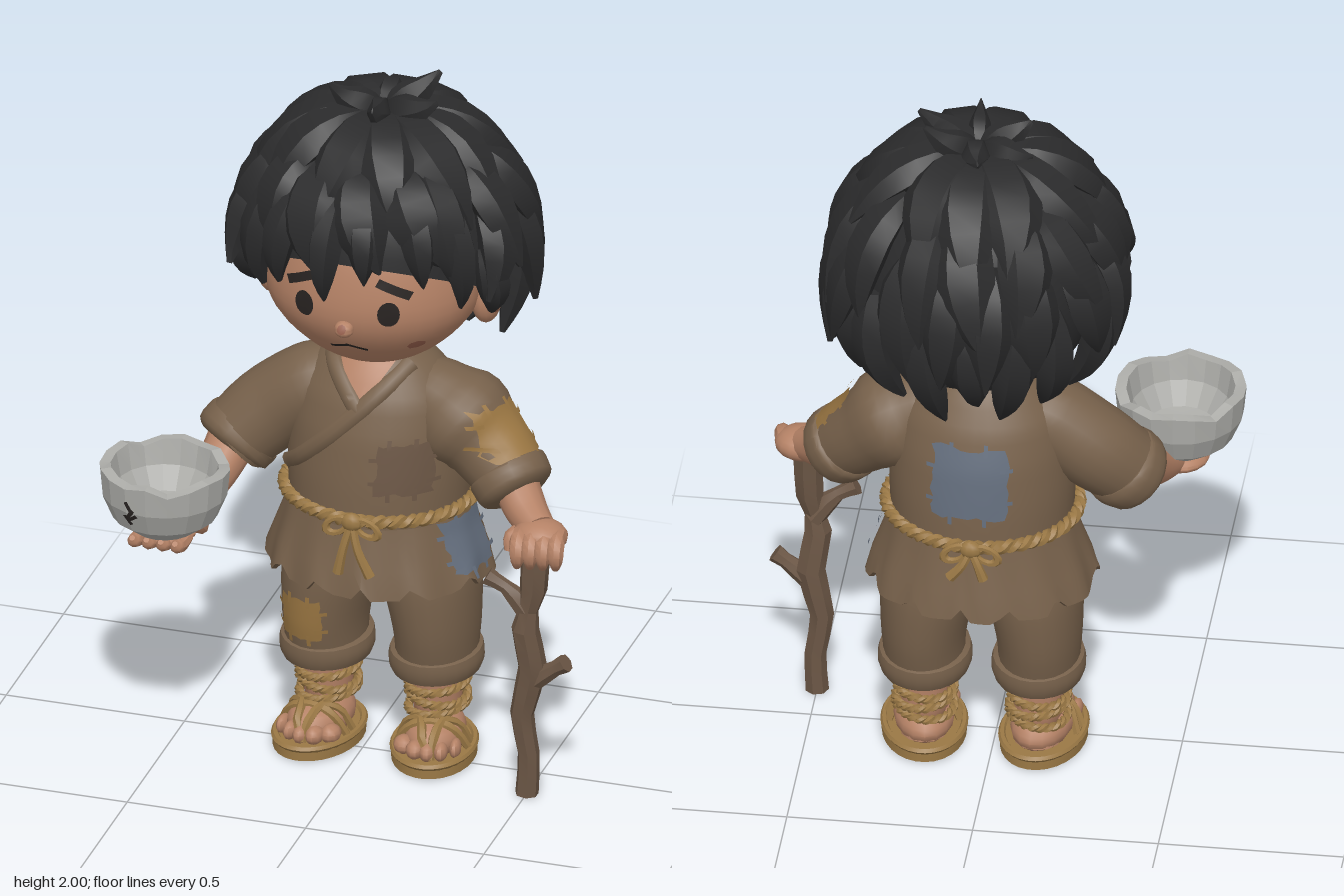
import * as THREE from 'three';
import { toCreasedNormals } from 'three/addons/utils/BufferGeometryUtils.js';

const V = (x, y, z) => new THREE.Vector3(x, y, z);
const mat = (name, color) => Object.assign(new THREE.MeshStandardMaterial({ color }), { name });

export function createModel() {
  const model = new THREE.Group();
  model.name = 'ragged child';
  const skin = mat('skin', 0xb58266), hair = mat('hair', 0x2b2b2c), cloth = mat('brown cloth', 0x77614b);
  const rope = mat('rope', 0x9a7845), stone = mat('grey stone', 0xadada9), blue = mat('blue patch', 0x636d7c);
  const tan = mat('tan patch', 0x9a7642), wood = mat('wood', 0x6b5645), dark = mat('dark details', 0x282321);
  const scuff = mat('scuffed skin', 0x965f4c);

  let seed = 11;
  const rnd = () => ((seed = (seed * 16807) % 2147483647) / 2147483647) * 2 - 1;

  function add(name, geo, material, crease = 0.75) {
    const mesh = new THREE.Mesh(toCreasedNormals(geo, crease), material);
    mesh.name = name;
    model.add(mesh);
    return mesh;
  }

  // Smooth tube through sections [x, y, z, half width, half depth]; depth points along ref
  function tube(rows, ref = V(0, 0, 1), seg = 12, steps = 12) {
    const path = new THREE.CatmullRomCurve3(rows.map(r => V(r[0], r[1], r[2])));
    const size = new THREE.CatmullRomCurve3(rows.map(r => V(r[3], r[4] ?? r[3], 0)));
    const pos = [], idx = [];
    for (let i = 0; i <= steps; i++) {
      const t = i / steps, c = path.getPoint(t), T = path.getTangent(t), s = size.getPoint(t);
      const B = (ref.isVector3 ? ref.clone() : ref(c)).cross(T).normalize(), N = T.clone().cross(B);
      for (let j = 0; j < seg; j++) {
        const a = (j / seg) * Math.PI * 2;
        const p = c.clone().addScaledVector(B, Math.cos(a) * s.x).addScaledVector(N, Math.sin(a) * s.y);
        pos.push(p.x, p.y, p.z);
        if (i < steps) {
          const q = i * seg + j, n = i * seg + (j + 1) % seg;
          idx.push(q, n, q + seg, n, n + seg, q + seg);
        }
      }
    }
    const a = path.getPoint(0), b = path.getPoint(1), k = (steps + 1) * seg;
    pos.push(a.x, a.y, a.z, b.x, b.y, b.z);
    for (let j = 0; j < seg; j++) {
      const n = (j + 1) % seg;
      idx.push(k, n, j, k + 1, steps * seg + j, steps * seg + n);
    }
    const geo = new THREE.BufferGeometry();
    geo.setAttribute('position', new THREE.Float32BufferAttribute(pos, 3));
    geo.setIndex(idx);
    return geo;
  }
  const ball = (x, y, z, rx, ry, rz, n = 16) =>
    new THREE.SphereGeometry(1, n, Math.ceil(n * 0.7)).scale(rx, ry, rz).translate(x, y, z);

  // Lay flat geometry onto a surface, seen from the given yaw
  const ray = new THREE.Raycaster(), up = V(0, 1, 0);
  function drape(name, geo, at, yaw, targets, material, offset = 0.006) {
    const p = geo.attributes.position, dir = V(0, 0, -1).applyAxisAngle(up, yaw);
    let last = 2;
    for (let i = 0; i < p.count; i++) {
      const o = V(p.getX(i), p.getY(i), 2).applyAxisAngle(up, yaw).add(V(...at));
      ray.set(o, dir);
      const hit = ray.intersectObjects(targets)[0];
      if (hit) last = hit.distance;
      o.addScaledVector(dir, last - offset);
      p.setXYZ(i, o.x, o.y, o.z);
    }
    return add(name, geo, material);
  }
  // Frayed patch with stitches of its own cloth around the edge
  function patch(name, w, h, at, yaw, targets, material) {
    const geo = new THREE.PlaneGeometry(w, h, 8, 8), p = geo.attributes.position;
    for (let i = 0; i < p.count; i++) {
      const edge = Math.max(Math.abs(p.getX(i)) / w, Math.abs(p.getY(i)) / h) > 0.49;
      if (edge) p.setXY(i, p.getX(i) * (1 + rnd() * 0.08), p.getY(i) * (1 + rnd() * 0.08));
    }
    drape(name, geo, at, yaw, targets, material, 0.009);
    for (const s of [-1, 1]) for (const k of [-0.25, 0.22]) {
      const v = new THREE.PlaneGeometry(0.011, 0.034, 1, 3).translate(k * w, s * h / 2, 0);
      const u = new THREE.PlaneGeometry(0.034, 0.011, 3, 1).translate(s * w / 2, k * h, 0);
      for (const g of [v, u]) drape(name + ' stitch', g, at, yaw, targets, material, 0.014);
    }
  }

  // Two-strand twisted rope ring
  function ropeRing(name, cx, cy, cz, rx, rz, r, twists, tilt = 0) {
    for (const phase of [0, Math.PI]) {
      const pts = [], n = twists * 6;
      for (let i = 0; i < n; i++) {
        const a = (i / n) * Math.PI * 2, b = a * twists + phase, d = Math.cos(b) * r * 0.7;
        pts.push(V(cx + Math.sin(a) * (rx + d), cy + Math.sin(b) * r * 0.7 + tilt * Math.sin(a), cz + Math.cos(a) * (rz + d)));
      }
      add(name, new THREE.TubeGeometry(new THREE.CatmullRomCurve3(pts, true), n * 2, r, 5, true), rope);
    }
  }

  // Tunic body and neck
  const tunic = add('tunic body', tube([[0.03, 0.74, -0.06, 0.245, 0.228], [0.03, 0.85, -0.06, 0.25, 0.222],
    [0.03, 0.98, -0.06, 0.245, 0.205], [0.03, 1.08, -0.06, 0.225, 0.175], [0.03, 1.16, -0.06, 0.165, 0.13],
    [0.03, 1.21, -0.06, 0.1, 0.09]], undefined, 36, 20), cloth);
  add('neck', tube([[0.03, 1.1, -0.05, 0.09], [0.03, 1.2, -0.045, 0.085], [0.03, 1.3, -0.03, 0.085]]), skin);

  // Tattered skirt of the tunic
  const hem = new THREE.LatheGeometry([[0.2, 0.76], [0.27, 0.57], [0.295, 0.548], [0.308, 0.55], [0.29, 0.62], [0.262, 0.7], [0.243, 0.79]]
    .map(p => new THREE.Vector2(...p)), 72);
  const hp = hem.attributes.position;
  for (let i = 0; i < hp.count; i++) {
    const a = Math.atan2(hp.getX(i), hp.getZ(i)), y = hp.getY(i);
    if (y < 0.6) hp.setY(i, y - 0.008 + 0.075 * Math.max(0, Math.sin(a * 11 + Math.sin(a * 2) * 2) - 0.5));
    const f = 1 + (0.79 - y) * 0.1 * Math.sin(a * 12);
    hp.setX(i, hp.getX(i) * f);
    hp.setZ(i, hp.getZ(i) * f * 0.84);
  }
  const skirt = add('tunic skirt', hem.translate(0.03, 0, -0.062), cloth);

  // Sleeves with rolled cuffs
  const sleeves = [
    [[-0.07, 1.085, -0.06, 0.09], [-0.15, 1.045, -0.05, 0.115], [-0.265, 0.96, -0.045, 0.117], [-0.36, 0.87, -0.01, 0.106]],
    [[0.13, 1.085, -0.06, 0.09], [0.21, 1.045, -0.05, 0.115], [0.325, 0.96, -0.035, 0.115], [0.435, 0.86, 0.012, 0.094]],
  ].map(rows => add('sleeve', tube(rows, undefined, 20, 14), cloth));
  add('right cuff', tube([[-0.33, 0.9, -0.03, 0.098], [-0.34, 0.888, -0.025, 0.116], [-0.365, 0.86, -0.002, 0.114], [-0.375, 0.846, 0.008, 0.086]], undefined, 20, 8), cloth);
  add('left cuff', tube([[0.395, 0.9, -0.01, 0.094], [0.405, 0.888, -0.004, 0.111], [0.436, 0.853, 0.018, 0.107], [0.448, 0.84, 0.026, 0.078]], undefined, 20, 8), cloth);

  // Neckline and crossed collar
  const opening = new THREE.PlaneGeometry(0.17, 0.13, 8, 6), op = opening.attributes.position;
  for (let i = 0; i < op.count; i++) op.setX(i, op.getX(i) * (op.getY(i) / 0.13 + 0.5));
  drape('open neckline', opening, [0.025, 1.135, 0], 0, [tunic], skin, 0.005);
  function band(name, x0, y0, x1, y1) {
    const rows = [];
    for (let i = 0; i <= 7; i++) {
      const x = x0 + (x1 - x0) * i / 7, y = y0 + (y1 - y0) * i / 7;
      ray.set(V(x, y, 2), V(0, 0, -1));
      const hit = ray.intersectObjects([tunic])[0];
      if (hit) rows.push([x, y, hit.point.z, 0.024, 0.014]);
    }
    add(name, tube(rows, V(0, 0.2, 1), 8, 16), cloth);
  }
  band('under collar', -0.085, 1.185, 0.025, 1.065);
  band('over collar', 0.14, 1.18, -0.2, 0.84);

  // Rope belt with front and back knots
  ropeRing('rope belt', 0.03, 0.77, -0.06, 0.258, 0.238, 0.012, 28);
  for (const [z, s] of [[0.19, 1], [-0.31, -1]]) {
    add('belt knot', ball(0.03, 0.77, z, 0.03, 0.027, 0.02, 10), rope);
    for (const k of [-1, 1]) {
      const drop = s > 0 ? 0.15 : 0.085;
      add('belt tail', tube([[0.03, 0.77, z, 0.011], [0.03 + k * 0.02, 0.77 - drop / 2, z + s * 0.012, 0.012], [0.04 + k * 0.045, 0.77 - drop, z + s * 0.012, 0.015]], undefined, 7, 6), rope);
      add('belt bow', new THREE.TorusGeometry(0.026, 0.01, 6, 12).scale(1.3, 0.8, 1).rotateZ(-k * 0.5).translate(0.03 + k * 0.042, 0.755, z), rope);
    }
  }

  // Legs, feet and sandals
  const trousers = [];
  for (const s of [-1, 1]) {
    const x = 0.03 + s * 0.153, z = -0.075;
    trousers.push(add('trouser leg', tube([[x - s * 0.025, 0.62, z, 0.128, 0.15], [x - s * 0.012, 0.52, z, 0.132, 0.165], [x + s * 0.002, 0.38, z, 0.116, 0.158], [x, 0.25, z, 0.106, 0.13]], undefined, 24, 12), cloth));
    add('rolled trouser cuff', tube([[x, 0.238, z, 0.09, 0.11], [x, 0.242, z, 0.118, 0.14], [x, 0.275, z, 0.127, 0.15], [x, 0.303, z, 0.122, 0.15], [x, 0.312, z, 0.1, 0.12]], undefined, 24, 12), cloth);
    add('ankle', tube([[x, 0.04, -0.09, 0.065, 0.075], [x, 0.12, -0.085, 0.065, 0.075], [x, 0.28, -0.08, 0.075, 0.085]]), skin);
    [[0.125, 0.01], [0.158, -0.01], [0.19, 0.008]].forEach(([y, tilt]) => ropeRing('ankle wrap', x, y, -0.085, 0.078, 0.09, 0.008, 12, tilt));
    const turn = g => g.rotateY(s * 0.14).translate(x + s * 0.008, 0, -0.03);
    add('sandal sole', turn(new THREE.CylinderGeometry(1, 1, 0.034, 28).scale(0.114, 1, 0.165).translate(0, 0.018, 0)), rope);
    add('sandal rim', turn(new THREE.TorusGeometry(1, 0.09, 6, 32).rotateX(Math.PI / 2).scale(0.108, 0.11, 0.158).translate(0, 0.034, 0)), rope);
    add('foot', turn(ball(0, 0.065, -0.012, 0.083, 0.06, 0.13)), skin);
    for (let i = 0; i < 5; i++) {
      const k = i - 2;
      add('toe', turn(ball(k * 0.035, 0.056, 0.112 - k * k * 0.009, 0.022 - s * k * 0.003, 0.026, 0.034, 10)), skin);
    }
    for (const k of [-1, 1]) add('sandal strap', turn(tube([[k * 0.095, 0.035, -0.01, 0.011], [k * 0.068, 0.1, 0.015, 0.011], [k * 0.03, 0.118, 0.045, 0.011], [k * 0.012, 0.08, 0.11, 0.011], [0.012, 0.04, 0.128, 0.01]], up, 6, 10)), rope);
    add('instep strap', turn(tube([[-0.098, 0.035, 0.03, 0.011], [-0.065, 0.09, 0.045, 0.012], [0, 0.115, 0.05, 0.012], [0.065, 0.09, 0.045, 0.012], [0.098, 0.035, 0.03, 0.011]], V(0, 0, 1), 6, 12)), rope);
  }

  // Sewn patches
  patch('chest patch', 0.14, 0.14, [0.155, 0.915, 0], 0, [tunic], wood);
  patch('back patch', 0.2, 0.2, [0.04, 0.95, 0], Math.PI, [tunic], blue);
  patch('hip patch', 0.15, 0.15, [0.03, 0.665, -0.005], Math.PI / 2, [skirt], blue);
  patch('sleeve patch', 0.15, 0.13, [0.03, 1.015, -0.055], 1.4, [sleeves[1]], tan);
  patch('knee patch', 0.12, 0.12, [-0.15, 0.4, 0], 0, [trousers[0]], tan);

  // Right arm with open palm under the bowl
  add('right forearm', tube([[-0.36, 0.88, -0.01, 0.07], [-0.385, 0.81, 0.09, 0.06], [-0.42, 0.75, 0.2, 0.048], [-0.44, 0.728, 0.27, 0.045]], up), skin);
  add('right palm', ball(-0.455, 0.722, 0.29, 0.08, 0.03, 0.08), skin);
  for (let i = 0; i < 4; i++) {
    const x = -0.515 + i * 0.04;
    add('right finger', tube([[x, 0.72, 0.31, 0.02], [x - 0.004, 0.714, 0.35, 0.021], [x - 0.006, 0.722, 0.38, 0.018], [x - 0.006, 0.735, 0.392, 0.008]], up, 8, 8), skin);
  }
  add('right thumb', tube([[-0.4, 0.73, 0.25, 0.022], [-0.36, 0.745, 0.29, 0.021], [-0.352, 0.77, 0.32, 0.01]], up, 8, 6), skin);

  // Chipped stone bowl
  const bowlGeo = new THREE.LatheGeometry([[0, 0.742], [0.085, 0.742], [0.142, 0.785], [0.169, 0.85], [0.176, 0.932], [0.146, 0.934], [0.133, 0.86], [0.095, 0.8], [0, 0.785]]
    .map(p => new THREE.Vector2(...p)), 18);
  const bp = bowlGeo.attributes.position;
  for (let i = 0; i < bp.count; i++) {
    const k = Math.floor(i / 9) % 18, chip = [1, 6, 11].includes(k) ? 0.022 : (k % 3) * 0.005;
    if (bp.getY(i) > 0.9) bp.setY(i, bp.getY(i) - chip);
  }
  const bowl = add('stone bowl', bowlGeo.translate(-0.455, 0, 0.312), stone, 0.25);
  [[0, 0.03, 0.5], [0.004, 0.008, -0.6], [-0.004, -0.014, 0.6], [0.01, -0.004, -0.9]].forEach(([x, y, r]) =>
    drape('bowl crack', new THREE.PlaneGeometry(0.011, 0.034, 1, 3).rotateZ(r).translate(x, y, 0), [-0.505, 0.84, 0], 0, [bowl], dark, 0.004));

  // Left arm, hand and walking stick
  add('left forearm', tube([[0.42, 0.88, 0, 0.065], [0.475, 0.82, 0.06, 0.058], [0.53, 0.79, 0.115, 0.047]], up), skin);
  add('left hand', ball(0.54, 0.782, 0.13, 0.075, 0.045, 0.066), skin);
  for (let i = 0; i < 4; i++) {
    const x = 0.49 + i * 0.034, z = 0.165 - i * 0.006;
    add('left finger', tube([[x, 0.79, z - 0.02, 0.021], [x + 0.006, 0.785, z + 0.025, 0.023], [x + 0.01, 0.75, z + 0.045, 0.021], [x + 0.005, 0.712, z + 0.03, 0.01]], V(1, 0, 0), 8, 8), skin);
  }
  add('left thumb', tube([[0.495, 0.785, 0.1, 0.023], [0.46, 0.765, 0.13, 0.022], [0.455, 0.73, 0.15, 0.01]], V(0, 0, 1), 8, 6), skin);
  add('walking stick', tube([[0.5, 0, 0.125, 0.032], [0.505, 0.12, 0.125, 0.03], [0.488, 0.24, 0.13, 0.033], [0.518, 0.38, 0.13, 0.04], [0.5, 0.5, 0.14, 0.038], [0.522, 0.62, 0.135, 0.038], [0.525, 0.76, 0.13, 0.042]], undefined, 7, 12), wood, 0.3);
  add('stick branch', tube([[0.51, 0.33, 0.13, 0.028], [0.56, 0.375, 0.135, 0.026], [0.615, 0.415, 0.14, 0.026]], undefined, 7, 4), wood, 0.3);
  add('stick branch', tube([[0.51, 0.54, 0.135, 0.03], [0.455, 0.61, 0.14, 0.026], [0.395, 0.645, 0.145, 0.026]], undefined, 7, 5), wood, 0.3);

  // Head with full cheeks
  const headGeo = new THREE.SphereGeometry(1, 36, 28), q = headGeo.attributes.position;
  for (let i = 0; i < q.count; i++) {
    const y = q.getY(i), cheek = 1 + 0.07 * Math.exp(-((y + 0.35) ** 2) / 0.12);
    q.setXYZ(i, 0.033 + q.getX(i) * 0.285 * cheek, 1.475 + y * 0.288, q.getZ(i) * 0.255 * cheek);
  }
  const head = add('head', headGeo, skin);
  const nose = add('nose', ball(0.032, 1.385, 0.264, 0.027, 0.024, 0.025, 12), skin);
  drape('nose scuff', new THREE.CircleGeometry(0.013, 8), [0.032, 1.393, 0], 0, [nose], scuff, 0.004);
  drape('cheek scuff', new THREE.CircleGeometry(0.02, 7).scale(1.2, 0.7, 1).rotateZ(0.4), [0.205, 1.32, 0], 0, [head], scuff);
  for (const s of [-1, 1]) {
    const x = 0.033 + s * 0.118;
    drape('eye', new THREE.CircleGeometry(0.03, 18).scale(0.95, 1.2, 1), [x, 1.437, 0], 0, [head], dark);
    drape('eyebrow', new THREE.PlaneGeometry(0.095, 0.024, 6, 1).rotateZ(-s * 0.45), [x + s * 0.012, 1.508, 0], 0, [head], dark, 0.009);
    drape('mouth corner', new THREE.PlaneGeometry(0.055, 0.009, 5, 1).rotateZ(-s * 0.3), [0.033 + s * 0.025, 1.316, 0], 0, [head], dark);
    add('ear', ball(0.033 + s * 0.3, 1.385, -0.045, 0.042, 0.078, 0.058), skin);
    add('ear hollow', ball(0.033 + s * 0.33, 1.39, -0.032, 0.014, 0.045, 0.03, 10), scuff);
  }

  // Hair cap and layered leaf-shaped locks around the crown
  const centre = V(0.04, 1.52, -0.06), rad = V(0.355, 0.37, 0.345), D = Math.PI / 180;
  hair.side = THREE.DoubleSide;
  add('hair cap', new THREE.SphereGeometry(1, 32, 20, 0, Math.PI * 2, 0, 108 * D).rotateX(-0.47)
    .scale(rad.x * 0.95, rad.y * 0.97, rad.z * 0.95).translate(...centre), hair);
  const outward = c => c.clone().sub(centre).normalize();
  function lock(phi, th0, th1, width, flare, sway) {
    const rows = [0, 0.25, 0.5, 0.78, 1].map((t, i) => {
      const th = (th0 + (th1 - th0) * t) * D, f = (phi + sway * t * t) * D;
      const r = 0.97 + 0.07 * Math.sin(Math.PI * t) + flare * t * t * t;
      return [centre.x + Math.sin(th) * Math.sin(f) * rad.x * r, centre.y + Math.cos(th) * rad.y * r,
        centre.z + Math.sin(th) * Math.cos(f) * rad.z * r, width * [0.4, 0.9, 1, 0.62, 0.06][i], [0.03, 0.046, 0.05, 0.034, 0.008][i]];
    });
    add('hair lock', tube(rows, outward, 6, 8), hair, 0.55);
  }
  // Each layer: count, start angle, end angle, width, outward flick of the tip
  const layers = [[6, 2, 24, 0.036, 0.28], [11, 6, 68, 0.085, 0.13], [14, 38, 94, 0.08, 0.19], [16, 60, 114, 0.072, 0.22], [16, 84, 136, 0.064, 0.17]];
  layers.forEach(([n, th0, th1, width, flick], layer) => {
    for (let i = 0; i < n; i++) {
      const phi = ((i + layer * 0.5) / n) * 360 + rnd() * 6, away = Math.abs(((phi + 180) % 360 + 360) % 360 - 180);
      const front = away < 58, side = away < 100;
      if ((layer === 3 && front) || (layer === 4 && side)) continue;
      const end = layer === 3 && side ? 103 : layer === 2 && front ? 84 : th1;
      lock(phi, th0, end + rnd() * 6, width * (1 + rnd() * 0.15), front && layer > 0 ? 0.04 : flick * (1 + rnd() * 0.4), rnd() * 14);
    }
  });
  // Uneven fringe and short locks in front of the ears
  [[-50, 106], [-33, 97], [-9, 98], [8, 88], [32, 90], [50, 104]].forEach(([phi, end]) => lock(phi, 48, end, 0.05, 0.02, phi * 0.08));
  for (const s of [-1, 1]) lock(s * 68, 80, 112, 0.045, 0.06, s * 6);

  return model;
}
